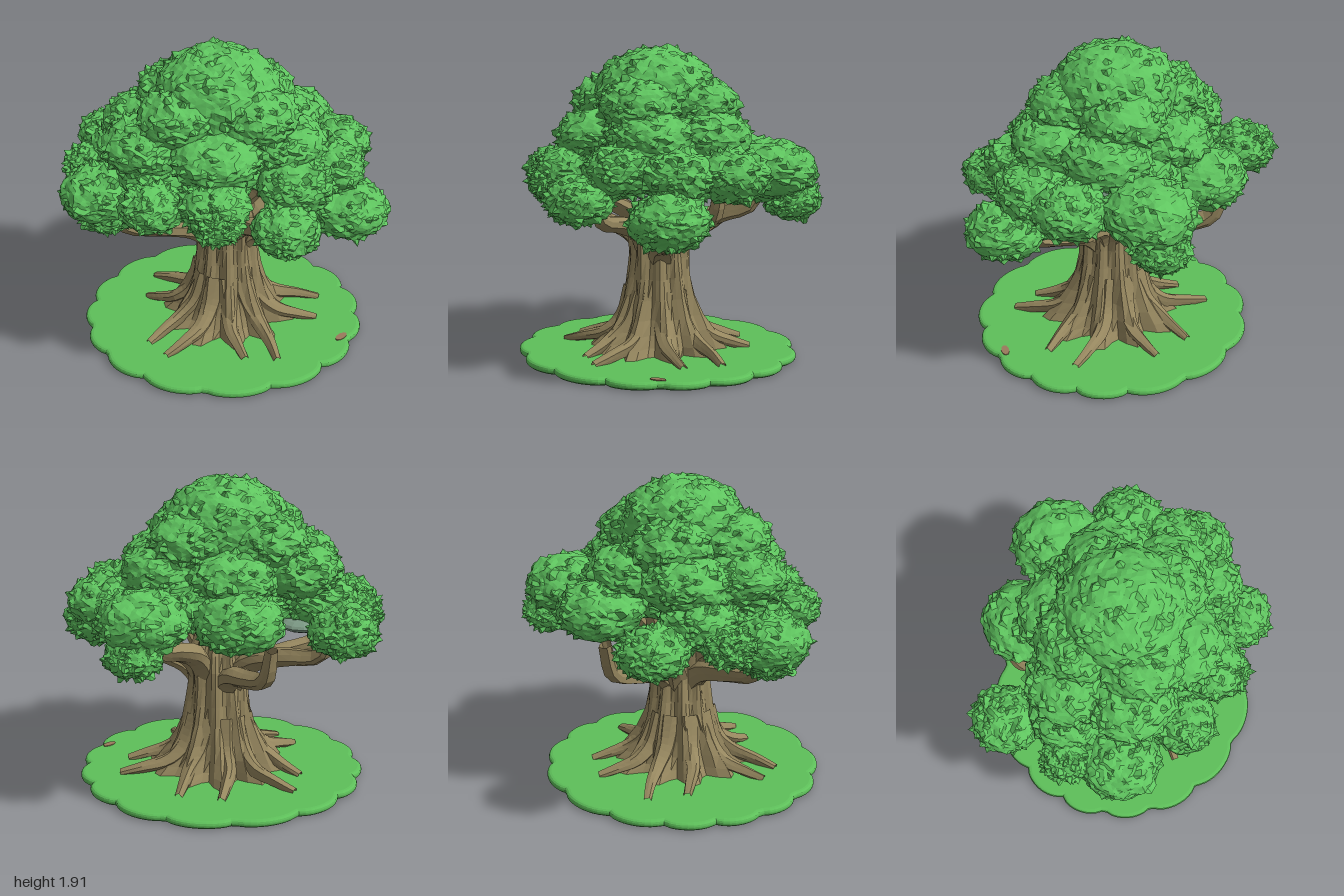
import * as THREE from 'three';
import { mergeVertices } from 'three/addons/utils/BufferGeometryUtils.js';

const mat = (name, color, extra = {}) => {
  const m = new THREE.MeshStandardMaterial({ color, flatShading: true, ...extra });
  m.name = name;
  return m;
};

// small seeded random generator
let seed = 7;
const rand = () => {
  seed = (seed * 16807) % 2147483647;
  return seed / 2147483647;
};

// leafy ellipsoid with a rough skin and scattered outward spikes
function clumpGeometry(x, y, z, r, ry) {
  let g = new THREE.IcosahedronGeometry(1, r > 0.3 ? 13 : 9);
  g.deleteAttribute('uv');
  g.deleteAttribute('normal');
  g = mergeVertices(g, 1e-4);
  const p = g.attributes.position, v = new THREE.Vector3();
  for (let i = 0; i < p.count; i++) {
    v.fromBufferAttribute(p, i);
    const lump = 0.01 * Math.sin(v.x * 7 + x * 9) * Math.cos(v.z * 6 + v.y * 5);
    const spike = rand() < 0.1 ? 0.012 + rand() * 0.022 : (rand() - 0.5) * 0.007;
    const out = lump + spike;
    p.setXYZ(i,
      x + v.x * (r + out) + (rand() - 0.5) * 0.012,
      y + v.y * (ry + out) + (rand() - 0.5) * 0.012,
      z + v.z * (r + out) + (rand() - 0.5) * 0.012);
  }
  g.computeVertexNormals();
  return g;
}

// tapered, ridged tube through a few points
function limbGeometry(points, r0, r1, sides = 9, steps = 14) {
  const curve = new THREE.CatmullRomCurve3(points.map(q => new THREE.Vector3(...q)));
  const g = new THREE.TubeGeometry(curve, steps, 1, sides, false);
  const p = g.attributes.position, v = new THREE.Vector3();
  for (let i = 0; i <= steps; i++) {
    const c = curve.getPointAt(i / steps);
    const r = THREE.MathUtils.lerp(r0, r1, Math.pow(i / steps, 0.8));
    for (let j = 0; j <= sides; j++) {
      const k = i * (sides + 1) + j;
      const ridge = 1 + 0.14 * Math.sin((j % sides) * 2.4 + i * 0.25);
      v.fromBufferAttribute(p, k).sub(c).multiplyScalar(r * ridge).add(c);
      p.setXYZ(k, v.x, v.y, v.z);
    }
  }
  g.computeVertexNormals();
  return g;
}

// fluted trunk lofted from a profile of [height, radius, flute depth]
function trunkGeometry() {
  const profile = [[0.04, 0.37, 0.2], [0.1, 0.33, 0.18], [0.17, 0.29, 0.15], [0.26, 0.245, 0.12],
    [0.38, 0.207, 0.09], [0.5, 0.187, 0.08], [0.62, 0.178, 0.08], [0.72, 0.178, 0.1],
    [0.82, 0.16, 0.12], [0.92, 0.12, 0.12], [1.02, 0.09, 0.1]];
  const sides = 50, pos = [], idx = [];
  profile.forEach(([y, r, depth], i) => {
    for (let j = 0; j < sides; j++) {
      const a = j / sides * Math.PI * 2;
      const flute = depth * Math.cos(10 * (a - 0.2) - y * 3.5) + 0.03 * Math.sin(7 * a + y * 9);
      const q = r * (1 + flute + (rand() - 0.5) * 0.04);
      pos.push(0.025 + q * Math.cos(a), y, q * Math.sin(a));
      if (i) {
        const n = (j + 1) % sides, b = (i - 1) * sides, t = i * sides;
        idx.push(b + j, t + j, b + n, b + n, t + j, t + n);
      }
    }
  });
  const g = new THREE.BufferGeometry();
  g.setAttribute('position', new THREE.Float32BufferAttribute(pos, 3));
  g.setIndex(idx);
  g.computeVertexNormals();
  return g;
}

export function createModel() {
  const leaf = mat('leaf green', 0x5fc55f);
  const shade = mat('inner foliage grey green', 0x7d9a85);
  const bark = mat('bark brown', 0x96875f, { side: THREE.DoubleSide });
  const grass = mat('grass green', 0x5ec05a);
  const earth = mat('bare earth brown', 0x9a7a5c);
  const model = new THREE.Group();
  model.name = 'tree';
  const group = name => {
    const g = new THREE.Group();
    g.name = name;
    model.add(g);
    return g;
  };
  const add = (parent, name, geometry, material) => {
    const m = new THREE.Mesh(geometry, material);
    m.name = name;
    parent.add(m);
  };

  // scalloped ground patch with a rounded rim
  const outline = [];
  for (let i = 0; i < 150; i++) {
    const a = i / 150 * Math.PI * 2;
    const r = 0.825 + 0.06 * Math.sqrt(Math.abs(Math.sin(7.5 * a + 0.3 + 0.6 * Math.sin(2 * a))));
    outline.push(new THREE.Vector2(r * Math.cos(a), r * Math.sin(a) * 0.965));
  }
  const ground = group('ground');
  const slab = new THREE.ExtrudeGeometry(new THREE.Shape(outline), {
    depth: 0.008, bevelThickness: 0.02, bevelSize: 0.025, bevelOffset: -0.025, bevelSegments: 3 });
  slab.rotateX(-Math.PI / 2).translate(0, 0.022, 0);
  add(ground, 'lawn', slab, grass);
  const patch = new THREE.CylinderGeometry(0.05, 0.05, 0.006, 9);
  patch.scale(1, 1, 0.5).rotateY(0.8).translate(0.73, 0.052, 0.31);
  add(ground, 'earthPatch', patch, earth);

  // trunk
  add(model, 'trunk', trunkGeometry(), bark);

  // roots spread around the base
  const roots = group('roots');
  for (let i = 0; i < 10; i++) {
    const a = 0.2 + i * Math.PI / 5 + (rand() - 0.5) * 0.2;
    const len = 0.58 + 0.05 * Math.sin(i * 2.3), bend = i % 2 ? 0.16 : -0.12;
    const at = (r, y, d = 0) => [0.015 + r * Math.cos(a + d), y, r * Math.sin(a + d)];
    add(roots, 'root', limbGeometry(
      [at(0.14, 0.4), at(0.22, 0.22), at(0.33, 0.13), at(len * 0.8, 0.085, bend * 0.6), at(len, 0.05, bend)],
      0.075, 0.024), bark);
  }

  // branches: tip x, y, z and elbow height
  const branches = group('branches');
  [
    [-0.66, 0.98, 0.2, 0.76], [-0.46, 1.15, 0.24, 0.9], [0.6, 1, 0.2, 0.75],
    [0.58, 1.1, -0.14, 0.86], [0.3, 1, 0.52, 0.86], [-0.1, 1.12, 0.4, 0.94],
    [-0.28, 1.02, -0.62, 0.75], [0.4, 1.12, -0.5, 0.9], [-0.64, 1.06, -0.46, 0.86],
    [-0.06, 1.15, -0.22, 0.92], [0.22, 1.2, 0.1, 0.94], [-0.28, 1.18, -0.02, 0.94],
  ].forEach(([x, y, z, elbow]) => {
    const at = (f, h) => [0.03 * (1 - f) + x * f, h, z * f];
    add(branches, 'branch', limbGeometry(
      [at(0.06, 0.55), at(0.3, elbow * 0.75 + 0.135), at(0.62, elbow), at(0.9, elbow * 0.75 + y * 0.25), at(1, y)],
      0.085, 0.038), bark);
  });

  // crown dome with a ring of four shoulders and a middle ring of six
  const crown = group('crown');
  const addClump = (x, y, z, r, ry) => add(crown, 'leafClump', clumpGeometry(x, y, z, r, ry), leaf);
  const addRing = (count, cx, y, reachX, reachZ, r, ry) => {
    for (let i = 0; i < count; i++) {
      const a = (i + 0.5) / count * Math.PI * 2;
      addClump(cx + reachX * Math.cos(a), y, reachZ * Math.sin(a), r, ry);
    }
  };
  addClump(-0.03, 1.6, 0, 0.38, 0.29);
  addClump(-0.03, 1.21, 0, 0.42, 0.17);
  addRing(4, -0.04, 1.545, 0.31, 0.26, 0.25, 0.175);
  addRing(6, -0.06, 1.365, 0.45, 0.35, 0.265, 0.165);

  // lower clumps: x, y, z and radius, flattened
  [
    [-0.74, 1.06, 0.2, 0.24], [-0.7, 0.95, 0.22, 0.17], [-0.82, 1.1, -0.1, 0.15],
    [-0.43, 1.13, 0.5, 0.19], [-0.07, 1.16, 0.55, 0.21], [-0.06, 1.1, 0.65, 0.15],
    [0.34, 1.04, 0.63, 0.2], [0.4, 1.2, 0.4, 0.22], [0.745, 0.95, 0.25, 0.235],
    [0.62, 1.18, 0.14, 0.22], [0.69, 1.18, -0.17, 0.22], [0.45, 1.17, -0.55, 0.27],
    [0.5, 1, -0.66, 0.17], [-0.1, 1.17, -0.57, 0.26], [-0.7, 1.09, -0.51, 0.205],
    [-0.58, 1.18, -0.16, 0.23], [0.2, 1.22, -0.35, 0.23], [-0.4, 1.2, 0.22, 0.23],
  ].forEach(([x, y, z, r]) => addClump(x, y, z, r, 0.03 + r * 0.56));

  // grey-green inner foliage peeking out under the crown
  [[-0.01, 1.0, -0.04, 0.19], [-0.48, 1.06, -0.24, 0.15], [0.44, 1.06, 0.04, 0.15]].forEach(([x, y, z, r]) => {
    const pad = new THREE.SphereGeometry(r, 12, 8);
    pad.scale(1, 0.28, 1).translate(x, y, z);
    add(crown, 'innerFoliage', pad, shade);
  });

  return model;
}
